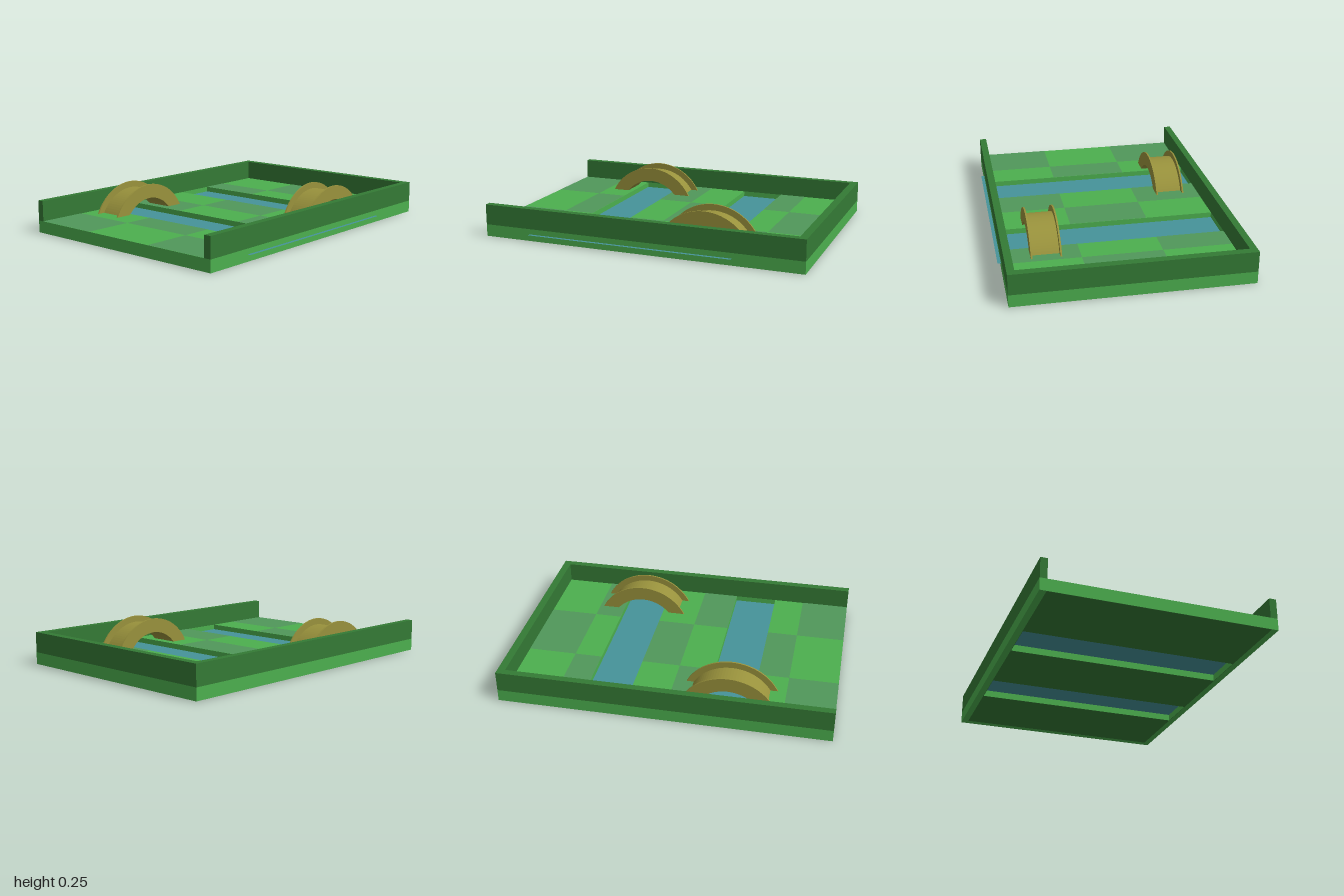
import * as THREE from 'three';

const BACK = -0.714, FRONT = 0.692, INNER_BACK = -0.672, INNER_FRONT = 0.648, INNER_LEFT = 0.953;
const FLOOR = 0.075, RIM = 0.2, WATER = 0.042;
const CHANNELS = [[-0.51, -0.242], [0.218, 0.482]];

const paint = (color) => new THREE.MeshStandardMaterial({ color });
const lightGreen = paint(0x4caf4e), greyGreen = paint(0x50985a), darkGreen = paint(0x347a35);
const wood = paint(0x99923c), blue = paint(0x46939a);
blue.side = THREE.DoubleSide;

function add(parent, name, geometry, material) {
  const mesh = new THREE.Mesh(geometry, material);
  mesh.name = name;
  parent.add(mesh);
  return mesh;
}

// Closed outline from [x, z] points
const outline = (points) => new THREE.Shape(points.map(([x, z]) => new THREE.Vector2(x, z)));
const rect = (x0, x1, z0, z1) => outline([[x0, z0], [x1, z0], [x1, z1], [x0, z1]]);

// Plan outline in x and z, extruded down from top to bottom
function slab(shape, bottom, top) {
  return new THREE.ExtrudeGeometry(shape, { depth: top - bottom, bevelEnabled: false })
    .rotateX(Math.PI / 2).translate(0, top, 0);
}

function withChannels(shape) {
  for (const [a, b] of CHANNELS) shape.holes.push(rect(a, b, INNER_BACK, INNER_FRONT));
  return shape;
}

// Arched band standing on the floor, extruded along z
function arch(outer, inner, z0, z1) {
  const foot = 0.078, centreY = -0.062;
  const a = Math.asin((foot - centreY) / outer), b = Math.asin((foot - centreY) / inner);
  const shape = new THREE.Shape();
  shape.absarc(0, centreY, outer, a, Math.PI - a, false);
  shape.absarc(0, centreY, inner, Math.PI - b, b, true);
  return new THREE.ExtrudeGeometry(shape, { depth: z1 - z0, bevelEnabled: false, curveSegments: 16 })
    .translate(0, 0, z0);
}

function bridge(x, z) {
  const group = new THREE.Group();
  group.name = 'bridge';
  add(group, 'bridgeDeck', arch(0.272, 0.222, -0.082, 0.082), wood);
  for (const side of [-1, 1]) {
    const rail = add(group, 'bridgeRail', arch(0.31, 0.222, -0.005, 0.005), wood);
    rail.position.z = side * 0.086;
  }
  group.position.set(x, 0, z);
  return group;
}

export function createModel() {
  const model = new THREE.Group();
  model.name = 'riverBoard';

  // Base with two channels cut right through
  add(model, 'base', slab(withChannels(rect(-1, 1, BACK, FRONT)), 0.001, FLOOR), lightGreen);
  const under = new THREE.ShapeGeometry(withChannels(rect(-0.999, INNER_LEFT, INNER_BACK - 0.002, INNER_FRONT + 0.002)));
  add(model, 'underside', under.rotateX(Math.PI / 2), darkGreen);

  // Checker tiles between the channels
  const columns = [[-1, -0.7], [-0.7, -0.51], [-0.242, -0.02], [-0.02, 0.218], [0.482, 0.652], [0.652, INNER_LEFT]];
  const rows = [INNER_BACK, -0.252, 0.23, INNER_FRONT];
  columns.forEach(([x0, x1], c) => {
    for (let r = 0; r < 3; r++) {
      if ((c + r) % 2) continue;
      const tile = new THREE.PlaneGeometry(x1 - x0, rows[r + 1] - rows[r]).rotateX(-Math.PI / 2);
      add(model, 'floorTile', tile, greyGreen)
        .position.set((x0 + x1) / 2, FLOOR + 0.001, (rows[r] + rows[r + 1]) / 2);
    }
  });

  // Wall on three sides, open at the right
  const wall = outline([[-1, BACK], [1, BACK], [1, FRONT], [-1, FRONT], [-1, INNER_FRONT],
    [INNER_LEFT, INNER_FRONT], [INNER_LEFT, INNER_BACK], [-1, INNER_BACK]]);
  add(model, 'wall', slab(wall, FLOOR, RIM), darkGreen);

  // One sheet of water through the base, showing in the channels
  const water = new THREE.PlaneGeometry(1.28, 1.404).rotateX(-Math.PI / 2);
  add(model, 'water', water, blue).position.set(-0.062, WATER, 0.01);

  model.add(bridge(-0.37, -0.486), bridge(0.35, 0.432));
  return model;
}
